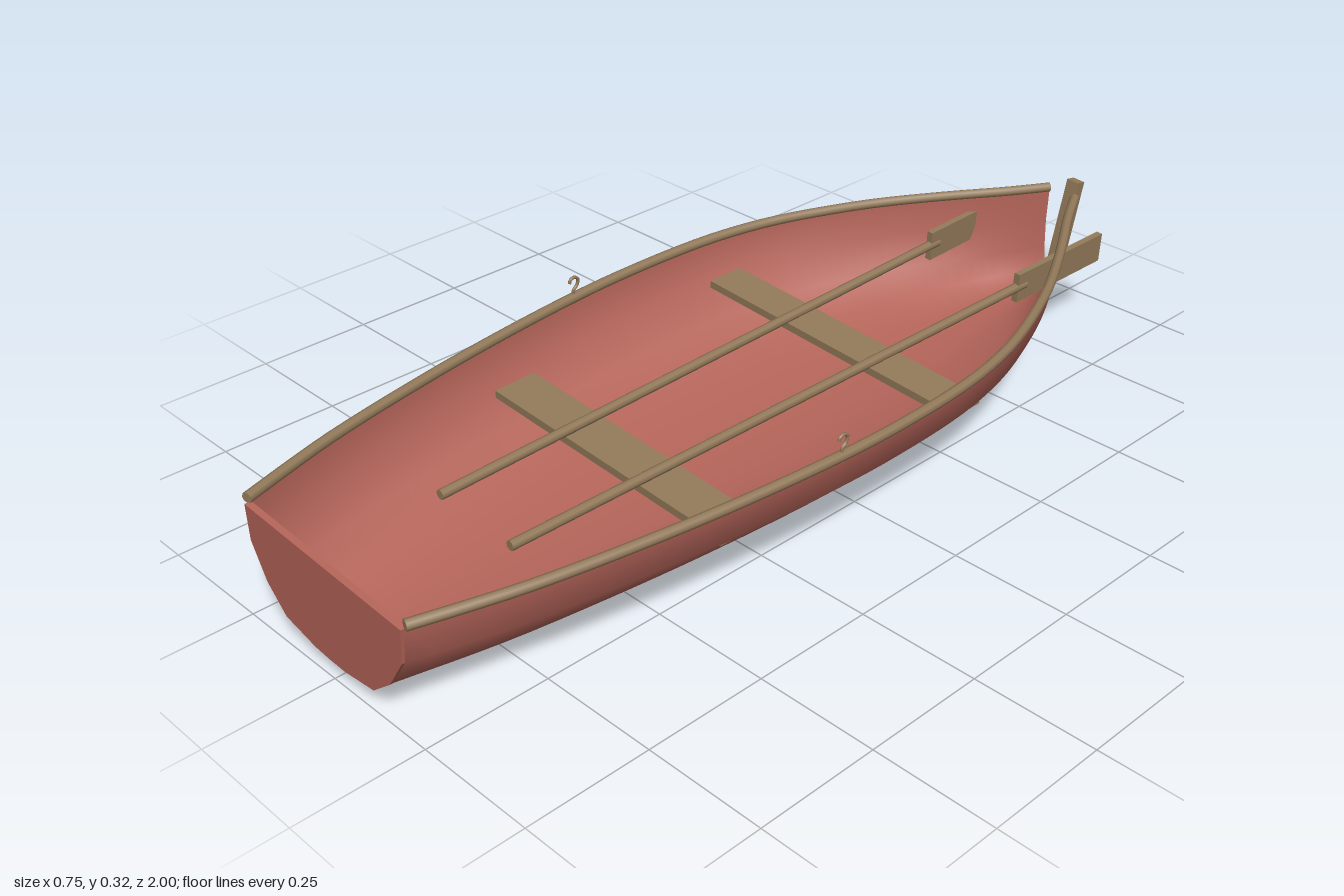
import * as THREE from 'three';

export function createModel() {
  const red = new THREE.MeshStandardMaterial({ color: 0xb5655a, side: THREE.DoubleSide });
  red.name = 'hullRed';
  const wood = new THREE.MeshStandardMaterial({ color: 0x937a5a });
  wood.name = 'wood';

  // the boat rests with a slight roll and pitch
  const boat = new THREE.Group();
  boat.name = 'rowingBoat';
  boat.position.x = -0.0155;
  boat.rotation.set(0.0115, 0, -0.064);

  const add = (name, geometry, material, x = 0, y = 0, z = 0) => {
    const mesh = new THREE.Mesh(geometry, material);
    mesh.name = name;
    mesh.position.set(x, y, z);
    boat.add(mesh);
    return mesh;
  };

  // half-width of the hull along its length: [z, width], stern to bow
  const plan = new THREE.CatmullRomCurve3([
    [0.99, 0.218], [0.8, 0.27], [0.6, 0.308], [0.4, 0.337], [0.16, 0.36], [0, 0.365], [-0.2, 0.356],
    [-0.35, 0.328], [-0.48, 0.283], [-0.6, 0.23], [-0.75, 0.145], [-0.85, 0.083], [-0.94, 0.033],
  ].map(([z, w]) => new THREE.Vector3(w, 0, z)));
  const stations = plan.getPoints(48);

  // cross-section as [fraction of half-width, height], mirrored
  const half = [[1, 0.246], [0.975, 0.173], [0.8, 0.106], [0.572, 0.061], [0.19, 0.047]];
  const section = [...half, [0, 0.046], ...half.slice().reverse().map(([x, y]) => [-x, y])];

  // hull skin, open at the bow
  const pos = [], index = [], n = section.length;
  stations.forEach((p, i) => {
    section.forEach(([x, y], j) => {
      pos.push(x * p.x, y, p.z);
      if (i && j) {
        const a = i * n + j, b = a - n;
        index.push(b - 1, b, a, b - 1, a, a - 1);
      }
    });
  });
  const skin = new THREE.BufferGeometry();
  skin.setAttribute('position', new THREE.Float32BufferAttribute(pos, 3));
  skin.setIndex(index);
  skin.computeVertexNormals();
  add('hull', skin, red);

  // transom closing the stern
  const outline = new THREE.Shape(section.map(([x, y]) => new THREE.Vector2(x * 0.218, y)));
  add('transom', new THREE.ExtrudeGeometry(outline, { depth: 0.013, bevelEnabled: false }), red, 0, 0, 0.984);

  // keel and stem post
  add('keel', new THREE.BoxGeometry(0.027, 0.024, 1.88), wood, -0.003, 0.0195, 0.03).rotation.x = -0.008;
  const stem = add('stemPost', new THREE.BoxGeometry(0.03, 0.235, 0.024), wood, 0, 0.152, -0.966);
  stem.rotation.x = -0.19;

  // seats
  add('frontSeat', new THREE.BoxGeometry(0.62, 0.016, 0.095), wood, 0, 0.157, 0.353);
  add('rearSeat', new THREE.BoxGeometry(0.66, 0.016, 0.085), wood, 0, 0.165, -0.228);

  for (const [side, s] of [['left', 1], ['right', -1]]) {
    // gunwale along the top edge, with capped ends
    const rail = new THREE.CatmullRomCurve3(
      stations.filter((p, i) => i % 2 === 0).map((p) => new THREE.Vector3(s * (p.x + 0.002), 0.254, p.z)));
    add(side + 'Gunwale', new THREE.TubeGeometry(rail, 48, 0.0105, 8), wood);
    for (const t of [0, 1]) {
      const end = rail.getPoint(t);
      const cap = add(side + 'GunwaleEnd', new THREE.CircleGeometry(0.0105, 8), wood, end.x, end.y, end.z);
      cap.lookAt(end.clone().addScaledVector(rail.getTangent(t), t ? 1 : -1));
    }

    // oar: shaft resting on the seats, upright blade near the bow
    const oar = new THREE.Group();
    oar.name = side + 'Oar';
    oar.position.set(s * 0.097, 0.179, 0.69);
    oar.rotation.y = s * -0.0175;
    const shaft = new THREE.Mesh(new THREE.CylinderGeometry(0.01, 0.01, 1.36, 8), wood);
    shaft.name = 'oarShaft';
    shaft.rotation.x = Math.PI / 2;
    shaft.position.z = -0.68;
    const blade = new THREE.Mesh(new THREE.BoxGeometry(0.014, 0.066, 0.28), wood);
    blade.name = 'oarBlade';
    blade.position.z = -1.47;
    oar.add(shaft, blade);
    boat.add(oar);

    // hooked oarlock
    const hook = new THREE.CatmullRomCurve3([
      [0.24, 0], [0.27, 0], [0.28, -0.009], [0.292, -0.011], [0.299, -0.002], [0.296, 0.008], [0.289, 0.01],
    ].map(([y, z]) => new THREE.Vector3(0, y, z)));
    add(side + 'Oarlock', new THREE.TubeGeometry(hook, 20, 0.0035, 6), wood, s * 0.362, 0, 0.16);
  }

  const model = new THREE.Group();
  model.name = 'model';
  model.add(boat);
  return model;
}
